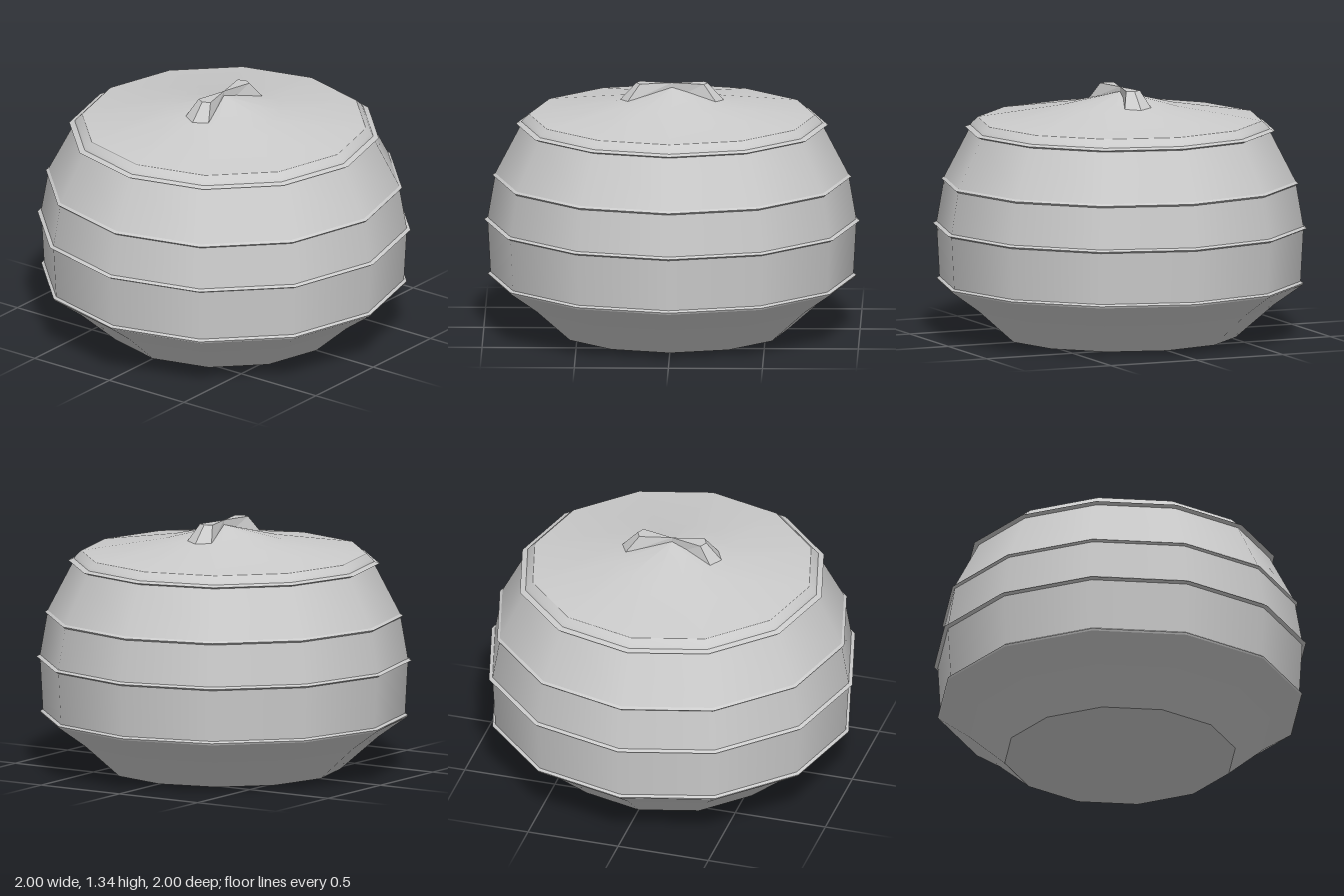
import * as THREE from 'three';

const SIDES = 12;

export function createModel() {
  const group = new THREE.Group();
  const smooth = new THREE.MeshStandardMaterial({ color: 0xcccccc, side: THREE.DoubleSide });
  const flat = new THREE.MeshStandardMaterial({ color: 0xcccccc, flatShading: true });

  const add = (name, geometry, material) => {
    const mesh = new THREE.Mesh(geometry, material);
    mesh.name = name;
    group.add(mesh);
    return mesh;
  };
  // Twelve-sided turned section; separate sections keep the edges between them sharp
  const turned = (name, profile) => add(name, new THREE.LatheGeometry(
    profile.map(([r, y]) => new THREE.Vector2(r, y)), SIDES), smooth);

  // Pot body
  turned('base', [[0, 0], [0.62, 0]]);
  turned('lowerBowl', [[0.62, 0], [0.82, 0.175], [0.975, 0.285]]);
  turned('lowerBand', [[0.965, 0.305], [0.98, 0.58]]);
  turned('middleBand', [[0.98, 0.6], [0.942, 0.82]]);
  turned('upperBand', [[0.94, 0.84], [0.805, 1.1]]);

  // Thin raised rings at the seams: inner radius below, lip radius, inner radius above, height
  const rings = [
    [0.975, 0.98, 0.965, 0.295],
    [0.98, 1.0, 0.98, 0.59],
    [0.942, 0.955, 0.94, 0.83],
    [0.805, 0.83, 0.8, 1.11],
  ];
  for (const [below, lip, above, y] of rings) {
    turned('seamRing', [[below, y - 0.01], [lip, y]]);
    turned('seamRing', [[lip, y], [above, y + 0.01]]);
  }

  // Lid
  turned('lidRim', [[0.8, 1.12], [0.79, 1.135], [0.76, 1.163]]);
  turned('lidTop', [[0.76, 1.163], [0.31, 1.235], [0, 1.31]]);

  // Bow-tie handle: each half tapers to a thin waist at the centre
  const base = [[0, 0], [-0.08, 0.24], [0, 0.278], [0.08, 0.24]];
  const top = [[0, 0], [-0.04, 0.17], [0, 0.19], [0.04, 0.17]];
  const at = (list, i, y) => [list[i % 4][0], y, list[i % 4][1]];
  const points = [];
  for (let i = 0; i < 4; i++) {
    const a = at(base, i, 1.24), b = at(base, i + 1, 1.24);
    const c = at(top, i + 1, 1.335), d = at(top, i, 1.335);
    points.push(...a, ...b, ...c, ...a, ...c, ...d);
  }
  for (const i of [1, 2]) {
    points.push(...at(top, 0, 1.335), ...at(top, i, 1.335), ...at(top, i + 1, 1.335));
  }
  const handle = new THREE.BufferGeometry();
  handle.setAttribute('position', new THREE.Float32BufferAttribute(points, 3));
  handle.computeVertexNormals();
  add('frontHandle', handle, flat);
  add('backHandle', handle, flat).rotation.y = Math.PI;

  return group;
}
